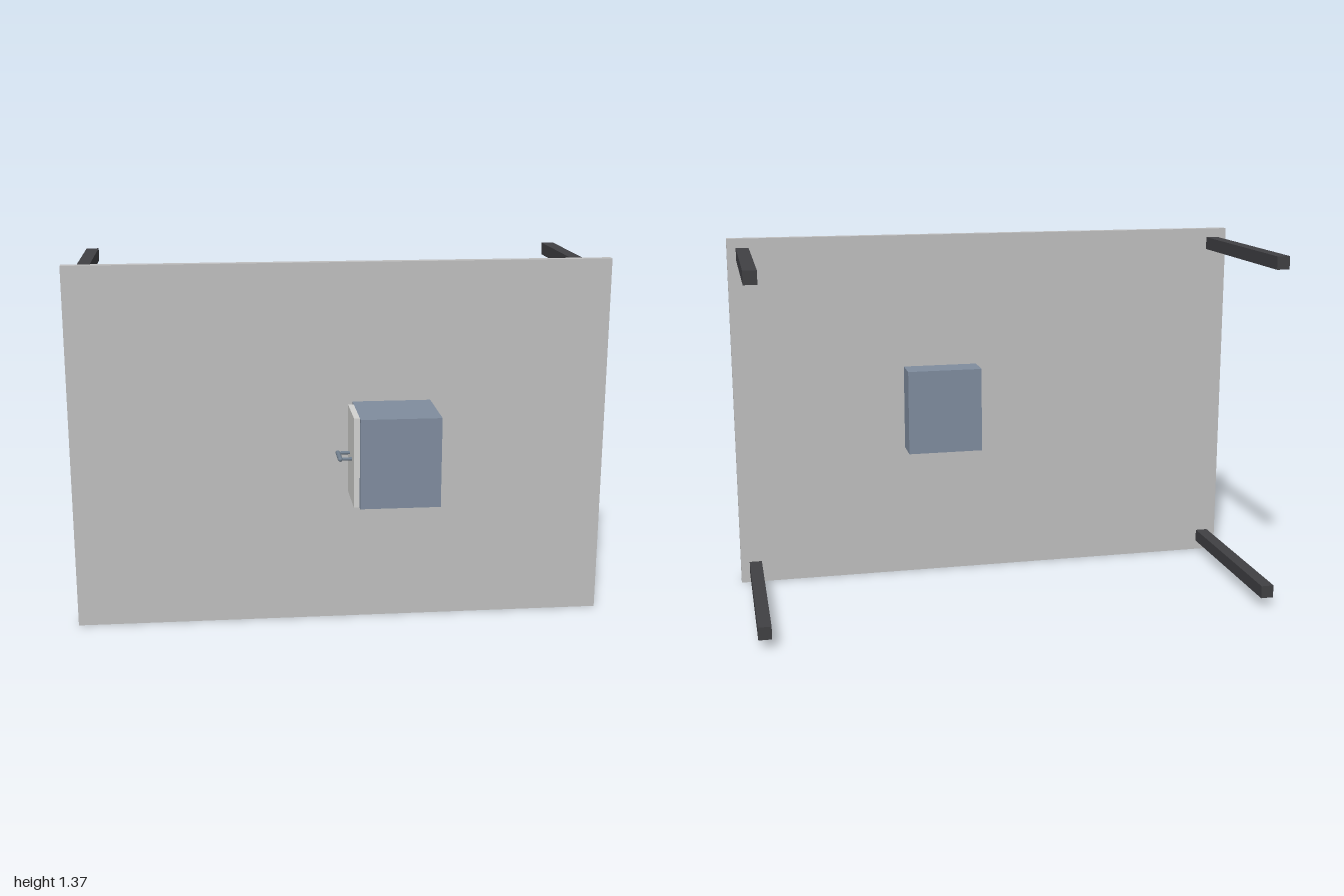
import * as THREE from 'three';

const material = (name, color) => {
  const m = new THREE.MeshStandardMaterial({ color });
  m.name = name;
  return m;
};

export function createModel() {
  const panelGrey = material('panel grey', 0xbfbfbf);
  const legBlack = material('leg charcoal', 0x404043);
  const cabinetBlue = material('cabinet slate blue', 0x7f8c9e);
  const doorGrey = material('door pale grey', 0xd2d2d0);
  const handleSteel = material('handle steel', 0x72808f);

  const model = new THREE.Group();
  model.name = 'standingTable';

  // Box given by its minimum and maximum corners
  const box = (name, mat, min, max) => {
    const size = max.map((v, i) => v - min[i]);
    const mesh = new THREE.Mesh(new THREE.BoxGeometry(...size), mat);
    mesh.position.set(...max.map((v, i) => (v + min[i]) / 2));
    mesh.name = name;
    model.add(mesh);
  };

  // Upright table top
  box('tableTop', panelGrey, [-1, 0, 0.198], [1, 1.37, 0.23]);

  // Four legs pointing backwards
  for (const x of [-0.942, 0.942]) {
    for (const y of [0.061, 1.311]) {
      box('leg', legBlack, [x - 0.024, y - 0.024, -0.5], [x + 0.024, y + 0.024, 0.198]);
    }
  }

  // Cabinet passing through the top, with a door on its side
  box('cabinet', cabinetBlue, [0.042, 0.522, 0.085], [0.333, 0.852, 0.5]);
  box('door', doorGrey, [0.021, 0.522, 0.272], [0.042, 0.852, 0.478]);

  // Bar handle on two posts
  const handle = new THREE.Group();
  handle.name = 'handle';
  handle.position.set(0, 0.686, 0.375);
  const bar = new THREE.Mesh(new THREE.CapsuleGeometry(0.0085, 0.088, 6, 16), handleSteel);
  bar.name = 'handleBar';
  bar.rotation.x = Math.PI / 2;
  bar.position.x = -0.022;
  handle.add(bar);
  for (const z of [-0.04, 0.04]) {
    const post = new THREE.Mesh(new THREE.CylinderGeometry(0.006, 0.006, 0.043, 12), handleSteel);
    post.name = 'handlePost';
    post.rotation.z = Math.PI / 2;
    post.position.set(-0.0005, 0, z);
    handle.add(post);
  }
  model.add(handle);

  return model;
}
